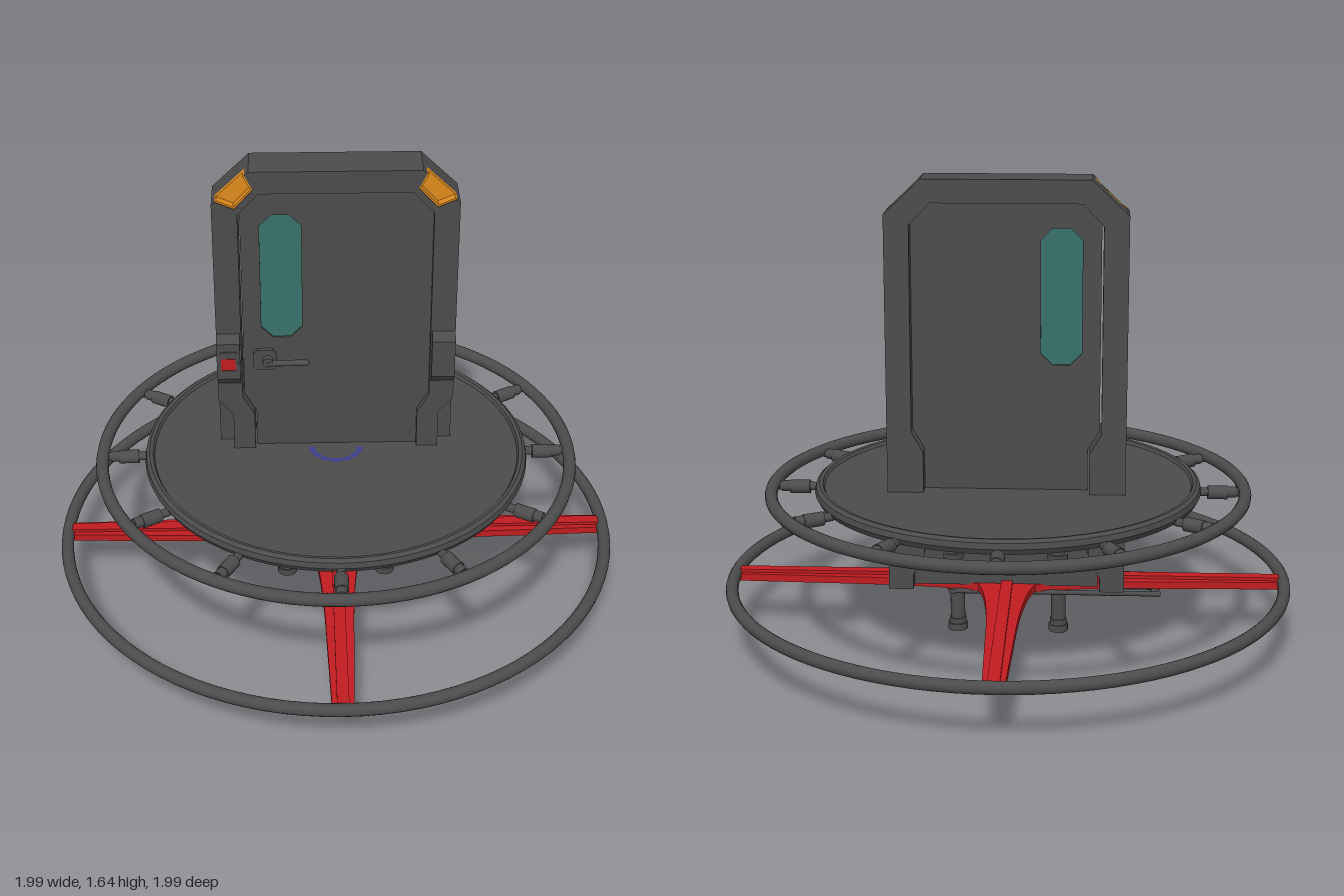
import * as THREE from 'three';

const mat = (name, color) => Object.assign(new THREE.MeshStandardMaterial({ color }), { name });
const V = (x, y, z) => new THREE.Vector3(x, y, z);
const poly = (pts) => pts.map(([x, y]) => new THREE.Vector2(x, y));
const mirrored = (pts) => pts.map(([x, y]) => [-x, y]).reverse();

// Octagon with cut corners
const octagon = (cx, cy, w, h, c) => [
  [-w, -h + c], [-w + c, -h], [w - c, -h], [w, -h + c],
  [w, h - c], [w - c, h], [-w + c, h], [-w, h - c],
].map(([x, y]) => [cx + x, cy + y]);

// Flat plate from an outline in x and y, running from z0 to z1
function plate(pts, z0, z1, holes = []) {
  const shape = new THREE.Shape(poly(pts));
  holes.forEach((h) => shape.holes.push(new THREE.Path(poly(h))));
  return new THREE.ExtrudeGeometry(shape, { depth: z1 - z0, bevelEnabled: false }).translate(0, 0, z0);
}

export function createModel() {
  const model = new THREE.Group();
  const grey = mat('darkGrey', 0x4c4c4c);
  const teal = mat('tealGlass', 0x38716a);
  const orange = mat('orangeLamp', 0xe08c1c);
  const red = mat('red', 0xc01c20);
  const blue = mat('blueMark', 0x3c3c94);

  const add = (name, geo, material, x = 0, y = 0, z = 0, parent = model) => {
    const m = new THREE.Mesh(geo, material);
    m.name = name;
    m.position.set(x, y, z);
    parent.add(m);
    return m;
  };
  const box = (w, h, d) => new THREE.BoxGeometry(w, h, d);
  const cyl = (r, h, s = 20) => new THREE.CylinderGeometry(r, r, h, s);
  const tube = (pts, r) => new THREE.TubeGeometry(new THREE.CatmullRomCurve3(pts), 24, r, 14, false);

  // Door frame: notched front layer, full rear layer
  const inner = [[0.325, 0.2], [0.325, 0.25], [0.285, 0.33], [0.285, 0.7], [0.325, 0.77], [0.325, 1.485], [0.255, 1.56]];
  const frontOuter = [[0.41, 0.2], [0.41, 0.25], [0.36, 0.32], [0.36, 0.7], [0.41, 0.76], [0.41, 1.52],
    [0.398, 1.532], [0.335, 1.505], [0.272, 1.575], [0.298, 1.628], [0.285, 1.64]];
  const backOuter = [[0.41, 0.2], [0.41, 1.52], [0.285, 1.64]];
  const frame = (outer) => [...outer, ...mirrored(outer), ...inner.map(([x, y]) => [-x, y]), ...[...inner].reverse()];
  add('frameFront', plate(frame(frontOuter), -0.055, 0), grey);
  add('frameBack', plate(frame(backOuter), -0.145, -0.055), grey);

  // Door leaf with window and vent openings, a slit along its left-hand edge
  const windowPts = octagon(-0.185, 1.235, 0.07, 0.235, 0.04);
  const ventPts = octagon(0, 0.445, 0.15, 0.058, 0.035);
  const leaf = [...inner, ...mirrored(inner).map(([x, y]) => [x + 0.006, y])];
  add('doorLeaf', plate(leaf, -0.09, -0.025, [windowPts, ventPts]), grey);
  add('window', plate(windowPts, -0.083, -0.032), teal);
  for (let i = 0; i < 7; i++) {
    const y = 0.396 + i * 0.0165;
    const w = 0.3 - Math.max(0, Math.abs(y - 0.445) - 0.023) * 2;
    add('ventSlat', box(w, 0.01, 0.05), grey, 0, y, -0.058);
  }

  // Corner lamps, side grips
  for (const s of [-1, 1]) {
    const flip = (pts) => (s > 0 ? pts : mirrored(pts));
    const lamp = [[0.398, 1.532], [0.335, 1.505], [0.272, 1.575], [0.298, 1.628]];
    const lining = [[0.398, 1.532], [0.335, 1.505], [0.272, 1.575], [0.298, 1.628],
      [0.304, 1.622], [0.279, 1.576], [0.337, 1.512], [0.392, 1.536]];
    add('cornerLamp', plate(flip(lamp).reverse(), -0.054, -0.034), orange);
    add('lampLining', plate(flip(lining).reverse(), -0.034, -0.004), orange);

    const grip = plate([[0, 0.83], [0.022, 0.86], [0.022, 1.0], [0, 1.03]], 0, 0.08).rotateY(-Math.PI / 2);
    add('sideGrip', grip, grey, s > 0 ? 0.41 : -0.33, 0, 0);
  }
  add('buttonSurround', plate(octagon(-0.37, 0.925, 0.032, 0.045, 0.006), 0.022, 0.026,
    [octagon(-0.37, 0.92, 0.025, 0.024, 0.003)]), grey);
  add('button', box(0.05, 0.045, 0.006), red, -0.37, 0.92, 0.022);

  // Door handle
  add('handlePlate', plate(octagon(-0.245, 0.915, 0.04, 0.04, 0.014), -0.025, -0.01), grey);
  add('handleStem', cyl(0.018, 0.03).rotateX(Math.PI / 2), grey, -0.235, 0.917, -0.002);
  add('handleLever', new THREE.CapsuleGeometry(0.011, 0.125, 6, 14).rotateZ(Math.PI / 2), grey, -0.165, 0.913, 0.006);

  // Round platform with a raised rim
  const rim = poly([[0, 0.512], [0.64, 0.512], [0.665, 0.52], [0.676, 0.54], [0.672, 0.56], [0.66, 0.57],
    [0.648, 0.568], [0.642, 0.556], [0, 0.556]]);
  const platform = add('platform', new THREE.LatheGeometry(rim, 72), grey);
  platform.geometry = platform.geometry.toNonIndexed();
  platform.geometry.computeVertexNormals();
  for (let i = 0; i < 7; i++) {
    const arc = new THREE.RingGeometry(0.076, 0.096, 6, 1, Math.PI + i * Math.PI / 7, 0.4);
    add('floorMark', arc.rotateX(-Math.PI / 2), blue, 0, 0.558, 0);
  }

  // Two hoops
  const hoop = (R) => new THREE.TorusGeometry(R, 0.022, 14, 96).rotateX(Math.PI / 2);
  add('upperHoop', hoop(0.828), grey, 0, 0.535, 0);
  add('lowerHoop', hoop(0.975), grey, 0, 0.2, 0);

  // Twelve struts from platform to upper hoop
  for (let i = 0; i < 12; i++) {
    const strut = new THREE.Group();
    strut.name = 'strut';
    strut.rotation.y = i * Math.PI / 6;
    add('strutRod', cyl(0.015, 0.16).rotateZ(Math.PI / 2), grey, 0.745, 0.527, 0, strut);
    add('strutSleeve', cyl(0.024, 0.07).rotateZ(Math.PI / 2), grey, 0.735, 0.525, 0, strut);
    add('strutCollar', cyl(0.019, 0.03).rotateZ(Math.PI / 2), grey, 0.785, 0.527, 0, strut);
    model.add(strut);
  }

  // Red cross under the door
  const cross = new THREE.Shape();
  for (let i = 0; i < 4; i++) {
    const c = Math.cos(i * Math.PI / 2), s = Math.sin(i * Math.PI / 2);
    const p = (x, y) => [x * c - y * s, x * s + y * c];
    if (i === 0) cross.moveTo(0.1, -0.1);
    cross.quadraticCurveTo(...p(0.2, -0.055), ...p(0.65, -0.046));
    cross.lineTo(...p(0.965, -0.036));
    cross.lineTo(...p(0.965, 0.036));
    cross.lineTo(...p(0.65, 0.046));
    cross.quadraticCurveTo(...p(0.2, 0.055), ...p(0.1, 0.1));
  }
  const crossGeo = new THREE.ExtrudeGeometry(cross, { depth: 0.026, bevelEnabled: false, curveSegments: 10 });
  add('crossBase', crossGeo.rotateX(-Math.PI / 2), red, 0, 0.18, 0);
  for (let i = 0; i < 2; i++) {
    add('crossRib', box(1.92, 0.014, 0.04), red, 0, 0.21, 0).rotation.y = i * Math.PI / 2;
  }

  // Legs, front pipes and rear elbows
  for (const x of [-0.18, 0.18]) {
    add('leg', cyl(0.026, 0.34), grey, x, 0.17, 0);
    add('foot', cyl(0.035, 0.025), grey, x, 0.0125, 0);
    add('ankle', cyl(0.03, 0.02), grey, x, 0.035, 0);
    add('legCollar', cyl(0.037, 0.028), red, x, 0.165, 0);
    add('pipeFlange', cyl(0.035, 0.025), grey, x, 0.342, 0);
    add('frontPipe', tube([V(x, 0.33, 0), V(x, 0.41, 0), V(x, 0.452, -0.012), V(x, 0.468, -0.05)], 0.024), grey);
    add('rearElbow', tube([V(x, 0.455, -0.08), V(x, 0.452, -0.14), V(x, 0.42, -0.175), V(x, 0.345, -0.19)], 0.025), grey);
    add('elbowFlange', cyl(0.035, 0.02), grey, x, 0.347, -0.19);
  }

  // Linkage beneath the cross
  for (const z of [-0.085, -0.02]) {
    add('linkRod', cyl(0.009, 0.74, 10).rotateZ(Math.PI / 2), grey, -0.17, 0.174, z);
  }
  for (const x of [-0.52, -0.34, -0.08, 0.08, 0.19]) {
    add('linkBar', box(0.025, 0.014, 0.08), grey, x, 0.173, -0.052);
  }
  return model;
}
